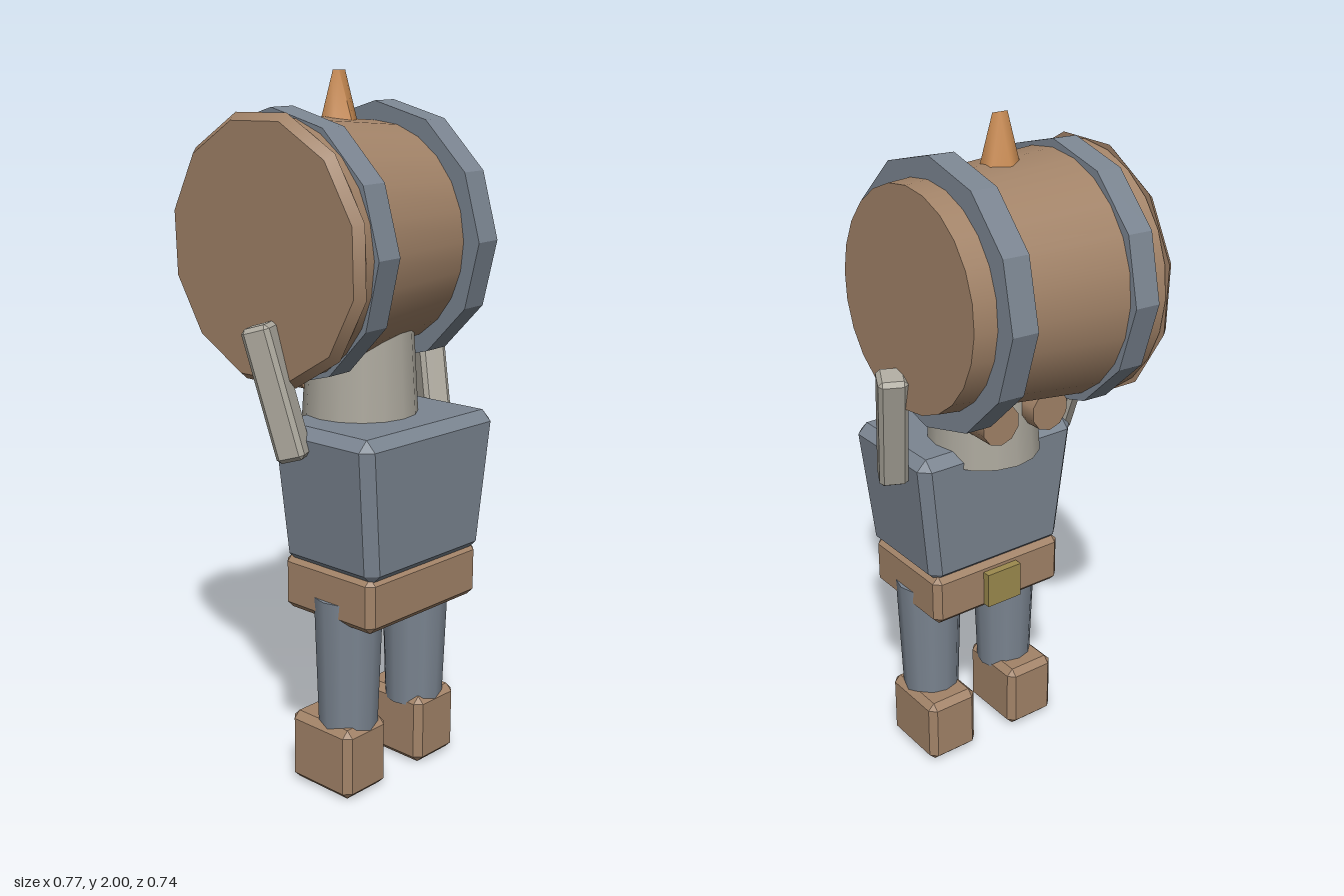
import * as THREE from 'three';
import { ConvexGeometry } from 'three/addons/geometries/ConvexGeometry.js';

const material = (name, color) => {
  const m = new THREE.MeshStandardMaterial({ color });
  m.name = name;
  return m;
};

// Chamfered box, optionally wider at the top (half sizes, chamfer c)
function chamferBox(hx, hy, hz, c, topX = hx, topZ = hz) {
  const points = [];
  for (const sx of [-1, 1]) for (const sy of [-1, 1]) for (const sz of [-1, 1]) {
    const X = sy > 0 ? topX : hx, Z = sy > 0 ? topZ : hz;
    points.push(
      new THREE.Vector3(sx * X, sy * (hy - c), sz * (Z - c)),
      new THREE.Vector3(sx * (X - c), sy * hy, sz * (Z - c)),
      new THREE.Vector3(sx * (X - c), sy * (hy - c), sz * Z));
  }
  return new ConvexGeometry(points);
}

// Closed cylinder lying along x; r1 is the radius at the +x end
const lyingCylinder = (r0, r1, length, sides, turn = 0) =>
  new THREE.CylinderGeometry(r1, r0, length, sides).rotateY(turn).rotateZ(-Math.PI / 2);

export function createModel() {
  const brown = material('brown wood', 0xa28368);
  const steel = material('blue grey steel', 0x7b8591);
  const stone = material('pale grey', 0xaca89d);
  const copper = material('copper', 0xc78a52);
  const brass = material('brass', 0x9c8a4e);

  const model = new THREE.Group();
  model.name = 'barrelCarrier';
  const add = (name, geometry, mat, x, y, z, parent = model) => {
    const mesh = new THREE.Mesh(geometry, mat);
    mesh.name = name;
    mesh.position.set(x, y, z);
    parent.add(mesh);
    return mesh;
  };

  // Torso, belt and buckle
  add('torso', chamferBox(0.235, 0.205, 0.172, 0.03, 0.272, 0.185), steel, 0, 0.865, 0.175);
  add('belt', chamferBox(0.23, 0.08, 0.168, 0.02), brown, 0, 0.6, 0.168);
  add('buckle', new THREE.BoxGeometry(0.12, 0.11, 0.055), brass, 0, 0.595, 0.003);

  // Head with two round knobs at its back
  add('head', new THREE.CylinderGeometry(0.145, 0.167, 0.36, 16), stone, 0, 1.2, 0.083);

  for (const side of [-1, 1]) {
    const label = side > 0 ? 'left' : 'right';
    add(label + 'Knob', new THREE.CylinderGeometry(0.062, 0.062, 0.1, 10).rotateX(Math.PI / 2),
      brown, side * 0.085, 1.185, -0.07);

    // Legs and boots
    add(label + 'Leg', new THREE.CylinderGeometry(0.1, 0.086, 0.4, 12), steel, side * 0.143, 0.38, 0.173);
    add(label + 'Boot', chamferBox(0.085, 0.105, 0.115, 0.02), brown, side * 0.152, 0.105, 0.145);

    // Raised arms, leaning outward and backward
    const arm = add(label + 'Arm', chamferBox(0.041, 0.186, 0.041, 0.012), stone, side * 0.314, 1.168, 0.072);
    const lean = new THREE.Vector3(side * 0.045, 0.35, -0.088).normalize();
    arm.quaternion.setFromUnitVectors(new THREE.Vector3(0, 1, 0), lean);
    arm.rotateY(-side * 0.45);
  }

  // Carried barrel, tilted slightly
  const barrel = new THREE.Group();
  barrel.name = 'barrel';
  barrel.position.set(0, 1.543, 0);
  barrel.rotation.z = 0.034;
  model.add(barrel);
  add('barrelBody', lyingCylinder(0.357, 0.303, 0.58, 24), brown, 0.014, 0, 0, barrel);
  add('barrelLid', lyingCylinder(0.35, 0.371, 0.025, 12, Math.PI / 12), brown, -0.292, 0, 0, barrel);
  for (const x of [-0.203, 0.197]) {
    const hoop = lyingCylinder(0.37, 0.37, 0.08, 12).toNonIndexed();
    hoop.computeVertexNormals();
    add('hoop', hoop, steel, x, 0, 0, barrel);
  }

  // Spike whose top is pinched to a short ridge
  const spike = new THREE.CylinderGeometry(0.028, 0.064, 0.18, 6);
  const p = spike.attributes.position;
  for (let i = 0; i < p.count; i++) if (p.getY(i) > 0) p.setZ(i, 0);
  spike.computeVertexNormals();
  add('spike', spike, copper, 0, 1.91, 0);

  return model;
}
